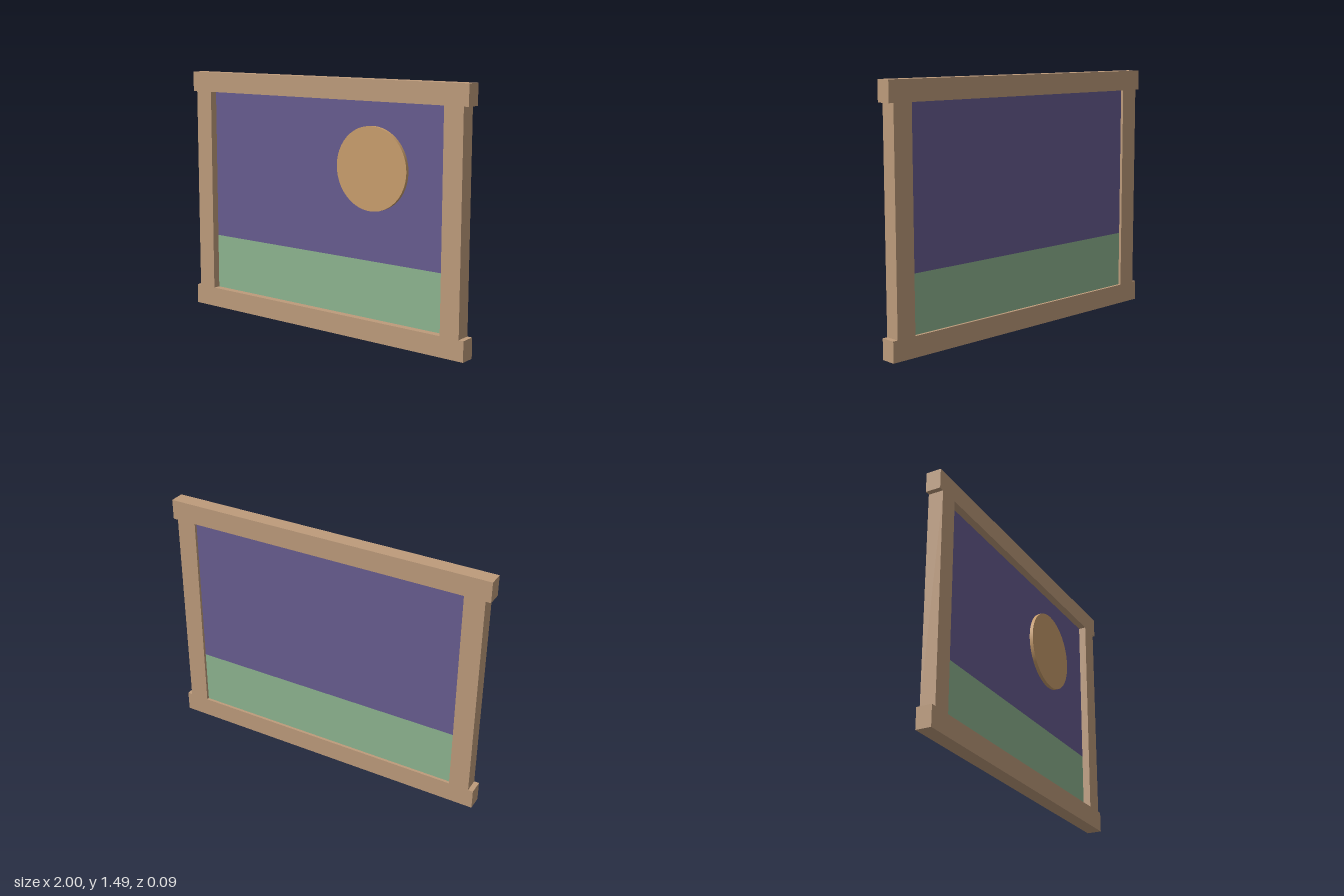
import * as THREE from 'three';

function material(name, color) {
  const m = new THREE.MeshStandardMaterial({ color });
  m.name = name;
  return m;
}

export function createModel() {
  const group = new THREE.Group();
  group.name = 'framedLandscape';
  const wood = material('wood', 0xbd9b7b);
  const dusk = material('duskPurple', 0x675c8f);
  const meadow = material('meadowGreen', 0x8db48f);
  const gold = material('sunGold', 0xc89d6c);

  function add(name, geometry, mat, x, y, z) {
    const mesh = new THREE.Mesh(geometry, mat);
    mesh.name = name;
    mesh.position.set(x, y, z);
    group.add(mesh);
    return mesh;
  }

  const depth = 0.09, bar = 0.12, height = 1.488;
  const opening = height - 2 * bar;

  // Rails overhang the stiles slightly at each end
  for (const [name, y] of [['bottomRail', bar / 2], ['topRail', height - bar / 2]]) {
    add(name, new THREE.BoxGeometry(2, bar, depth), wood, 0, y, 0);
  }
  for (const [name, side] of [['leftStile', 1], ['rightStile', -1]]) {
    add(name, new THREE.BoxGeometry(bar, opening, depth), wood, side * 0.91, height / 2, 0);
  }

  // Recessed panel split at the horizon
  const horizon = 0.457, width = 1.7, thick = 0.028, panelZ = -0.014;
  const skyHeight = height - bar - horizon, landHeight = horizon - bar;
  add('sky', new THREE.BoxGeometry(width, skyHeight, thick), dusk, 0, horizon + skyHeight / 2, panelZ);
  add('land', new THREE.BoxGeometry(width, landHeight, thick), meadow, 0, bar + landHeight / 2, panelZ);

  // Raised sun disc
  const sun = add('sun', new THREE.CylinderGeometry(0.24, 0.24, 0.025, 48), gold, 0.362, 0.988, 0.0085);
  sun.rotation.x = Math.PI / 2;

  return group;
}
